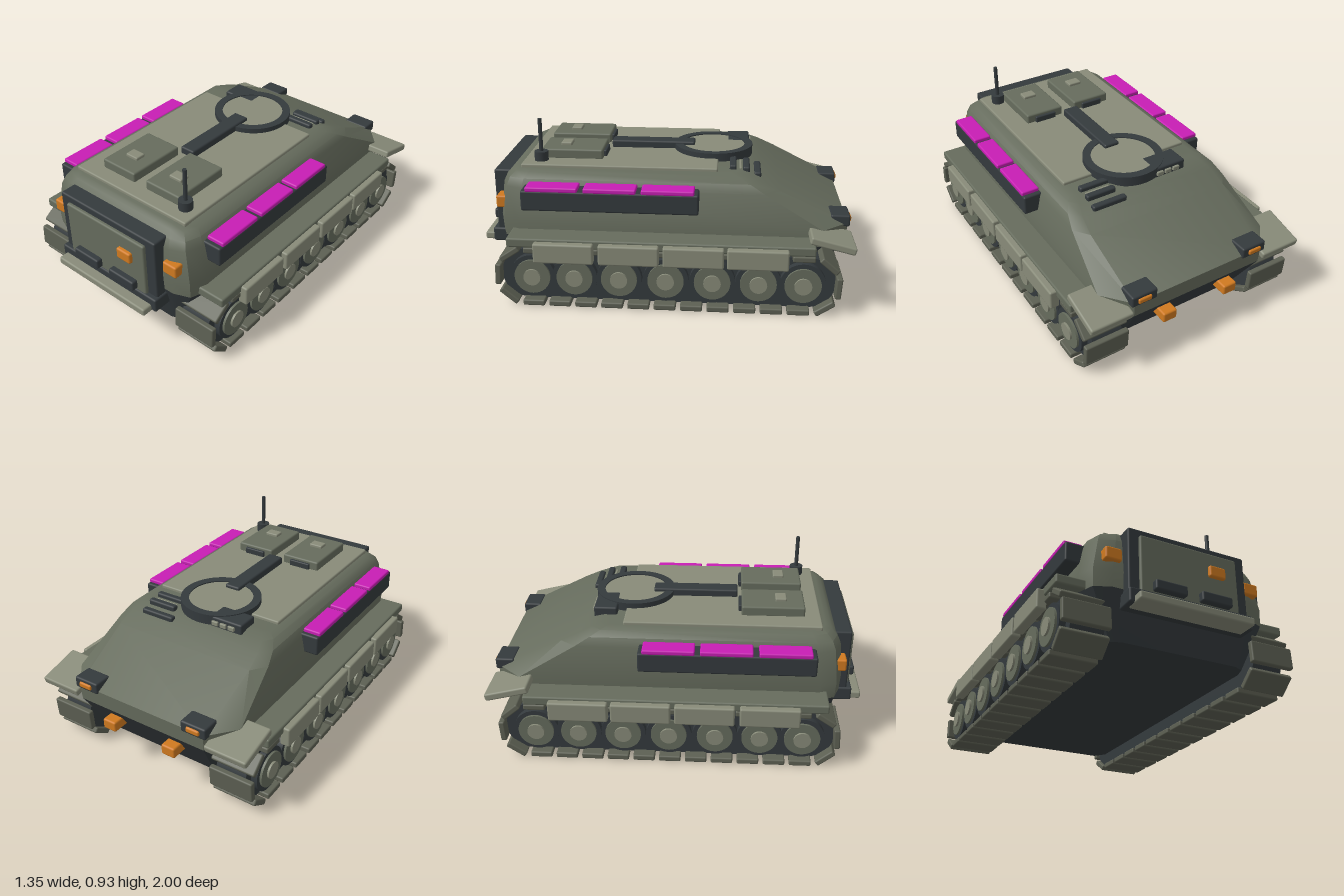
import * as THREE from 'three';
import { toCreasedNormals } from 'three/addons/utils/BufferGeometryUtils.js';
import { RoundedBoxGeometry } from 'three/addons/geometries/RoundedBoxGeometry.js';

const paint = (name, color) => {
  const m = new THREE.MeshStandardMaterial({ color });
  m.name = name;
  return m;
};

export function createModel() {
  const green = paint('hull green', 0x666c5d);
  const light = paint('light olive grey', 0x888b79);
  const dark = paint('dark slate', 0x343a3d);
  const tread = paint('track grey', 0x5d6053);
  const magenta = paint('magenta', 0xc81eb4);
  const orange = paint('orange', 0xd07a20);

  const model = new THREE.Group();
  model.name = 'armouredCarrier';

  const add = (name, geometry, material, x = 0, y = 0, z = 0, parent = model) => {
    const mesh = new THREE.Mesh(geometry, material);
    mesh.name = name;
    mesh.position.set(x, y, z);
    parent.add(mesh);
    return mesh;
  };
  // Box with softened edges, given by its limits
  const box = (name, mat, x0, x1, y0, y1, z0, z1, parent = model) => {
    const w = x1 - x0, h = y1 - y0, d = z1 - z0;
    const r = Math.min(0.01, Math.min(w, h, d) * 0.3);
    return add(name, new RoundedBoxGeometry(w, h, d, 2, r), mat, (x0 + x1) / 2, (y0 + y1) / 2, (z0 + z1) / 2, parent);
  };
  // Upright cylinder standing on y0
  const post = (name, mat, r, x, y0, y1, z, sides = 40) =>
    add(name, new THREE.CylinderGeometry(r, r, y1 - y0, sides), mat, x, (y0 + y1) / 2, z);

  // Hull: horizontal rings [y, half width, front z, back z, front corner x, z, back corner x, z]
  const hull = (name, mat, levels) => {
    const rings = levels.map(([y, w, f, b, fx, fz, bx, bz]) => {
      const half = [[w - bx, b], [w, b + bz], [w, f - fz], [w - fx * 0.28, f - fz * 0.28], [w - fx, f]];
      const other = half.map(([x, z]) => [-x, z]).reverse();
      return [...half, ...other].map(([x, z]) => [x, y, z]);
    });
    const pos = [];
    const tri = (...p) => p.forEach((v) => pos.push(...v));
    const n = rings[0].length;
    for (let k = 0; k < rings.length - 1; k++) {
      for (let i = 0; i < n; i++) {
        const j = (i + 1) % n, a = rings[k], b = rings[k + 1];
        tri(a[i], b[i], b[j]);
        tri(a[i], b[j], a[j]);
      }
    }
    const bottom = rings[0], top = rings[rings.length - 1];
    for (let i = 1; i < n - 1; i++) {
      tri(bottom[0], bottom[i], bottom[i + 1]);
      tri(top[0], top[i + 1], top[i]);
    }
    const g = new THREE.BufferGeometry();
    g.setAttribute('position', new THREE.Float32BufferAttribute(pos, 3));
    add(name, toCreasedNormals(g, 0.5), mat);
  };
  hull('lowerHull', dark, [
    [0.09, 0.385, 0.81, -0.82, 0.07, 0.08, 0.05, 0.06],
    [0.335, 0.505, 0.865, -0.965, 0.12, 0.12, 0.12, 0.14],
  ]);
  hull('upperHull', green, [
    [0.335, 0.505, 0.865, -0.965, 0.12, 0.12, 0.12, 0.14],
    [0.425, 0.508, 0.87, -0.97, 0.12, 0.12, 0.12, 0.14],
    [0.60, 0.472, 0.855, -0.61, 0.11, 0.12, 0.06, 0.08],
    [0.645, 0.452, 0.835, -0.515, 0.1, 0.11, 0.05, 0.06],
    [0.673, 0.42, 0.805, -0.45, 0.09, 0.1, 0.04, 0.05],
    [0.685, 0.38, 0.775, -0.40, 0.07, 0.08, 0.03, 0.04],
  ]);

  // Roof: plate, hatches, ring, boom, antenna
  box('roofPlate', light, -0.38, 0.38, 0.675, 0.702, -0.285, 0.755);
  for (const x of [-0.155, 0.152]) {
    box('hatch', green, x - 0.113, x + 0.113, 0.695, 0.752, 0.335, 0.67);
    box('hatchHandle', light, x - 0.04, x + 0.04, 0.745, 0.768, 0.515, 0.575);
    box('hatchHinge', dark, x - 0.063, x + 0.063, 0.695, 0.735, 0.32, 0.34);
  }
  const ring = new THREE.Shape().absarc(0, 0, 0.217, 0, Math.PI * 2);
  ring.holes.push(new THREE.Path().absarc(0, 0, 0.173, 0, Math.PI * 2));
  const ringGeo = new THREE.ExtrudeGeometry(ring, { depth: 0.055, bevelEnabled: false, curveSegments: 32 });
  ringGeo.rotateX(-Math.PI / 2);
  add('turretRing', toCreasedNormals(ringGeo, 0.5), dark, -0.003, 0.675, -0.254);
  post('turretDisc', light, 0.175, -0.003, 0.675, 0.724, -0.254, 48);
  box('boom', dark, -0.047, 0.043, 0.695, 0.742, -0.15, 0.315);
  box('sightBox', dark, -0.265, -0.07, 0.655, 0.725, -0.455, -0.33);
  for (const x of [-0.205, -0.155, -0.105]) box('sightStud', light, x - 0.02, x + 0.02, 0.68, 0.705, -0.467, -0.45);
  [[-0.495, 0.135], [-0.435, 0.165], [-0.365, 0.165]].forEach(([z, x], i) => {
    const y = Math.min(0.69, 0.68 + (z + 0.44) * 0.47);
    box('ventSlat', dark, x, 0.335, y - 0.03, y + 0.018, z - 0.018, z + 0.018);
    if (i < 2) box('ventGap', light, 0.18, 0.32, y - 0.03, y + 0.008, z + 0.024, z + 0.036);
  });
  post('antennaBase', dark, 0.037, 0.3, 0.69, 0.752, 0.66, 24);
  post('antennaRod', dark, 0.011, 0.3, 0.74, 0.93, 0.66, 12);

  // Door face, bumper and step
  box('doorFrame', dark, -0.33, 0.33, 0.28, 0.65, 0.80, 0.918);
  box('door', green, -0.275, 0.27, 0.30, 0.612, 0.88, 0.936);
  box('bumper', dark, -0.34, 0.34, 0.235, 0.312, 0.80, 0.945);
  box('step', light, -0.315, 0.31, 0.23, 0.272, 0.88, 1.0);
  for (const x of [-0.127, 0.126]) box('doorFoot', dark, x - 0.086, x + 0.086, 0.318, 0.372, 0.91, 0.97);
  box('doorLamp', orange, 0.1, 0.192, 0.473, 0.535, 0.92, 0.957);

  // Capsule outline of the track in the z-y plane
  const zf = 0.695, zb = -0.765, cy = 0.165, R = 0.15;
  const bandShape = new THREE.Shape();
  bandShape.absarc(zf, cy, 0.14, -Math.PI / 2, Math.PI / 2);
  bandShape.absarc(zb, cy, 0.14, Math.PI / 2, Math.PI * 1.5);
  const bandGeo = new THREE.ExtrudeGeometry(bandShape, { depth: 0.17, bevelEnabled: false, curveSegments: 16 });
  bandGeo.rotateY(-Math.PI / 2).translate(0.085, 0, 0);
  const band = toCreasedNormals(bandGeo, 0.5);
  const linkGeo = new RoundedBoxGeometry(0.247, 0.032, 0.115, 2, 0.008);
  const run = zf - zb, arc = Math.PI * R, total = 2 * (run + arc), count = 28;
  const onTrack = (s) => {
    if (s < run) return [zb + s, cy - R, 0];
    s -= run;
    if (s < arc) return [zf + R * Math.sin(s / R), cy - R * Math.cos(s / R), s / R];
    s -= arc;
    if (s < run) return [zf - s, cy + R, Math.PI];
    s -= run;
    return [zb - R * Math.sin(s / R), cy + R * Math.cos(s / R), Math.PI + s / R];
  };
  const disc = (r, w) => new THREE.CylinderGeometry(r, r, w, 32).rotateZ(Math.PI / 2);
  const tire = disc(0.118, 0.06), plate = disc(0.094, 0.06), hub = disc(0.045, 0.06);

  for (const s of [-1, 1]) {
    const side = new THREE.Group();
    side.name = s > 0 ? 'leftSide' : 'rightSide';
    model.add(side);
    // Box between an inner and an outer distance from the centre line
    const sideBox = (name, mat, a, b, ...rest) =>
      box(name, mat, Math.min(s * a, s * b), Math.max(s * a, s * b), ...rest, side);

    // Track and road wheels
    add('trackBand', band, dark, s * 0.495, 0, 0, side);
    for (let i = 0; i < count; i++) {
      const [z, y, angle] = onTrack(((i + 0.35) / count) * total);
      add('trackLink', linkGeo, tread, s * 0.51, y + 0.001, z, side).rotation.x = -angle;
    }
    for (const z of [0.665, 0.443, 0.21, -0.032, -0.272, -0.508, -0.735]) {
      add('tire', tire, dark, s * 0.583, cy, z, side);
      add('wheelPlate', plate, green, s * 0.595, cy, z, side);
      add('wheelHub', hub, light, s * 0.606, cy, z, side);
    }

    // Fender, end flap and skirts
    sideBox('fender', green, 0.43, 0.638, 0.335, 0.385, -0.79, 0.79);
    sideBox('endFlap', light, 0.4, 0.637, 0.375, 0.415, -0.99, -0.755).rotation.x = -0.24;
    for (const z of [-0.5, -0.175, 0.155, 0.49]) sideBox('skirt', light, 0.62, 0.673, 0.265, 0.372, z - 0.155, z + 0.155);

    // Side stowage with coloured panels
    sideBox('sideStowage', dark, 0.43, 0.565, 0.51, 0.618, -0.195, 0.72);
    for (const z of [-0.037, 0.26, 0.56]) sideBox('stowagePanel', magenta, 0.465, 0.565, 0.612, 0.638, z - 0.135, z + 0.135);

    // Lamps at both ends
    sideBox('cornerLamp', orange, 0.345, 0.432, 0.47, 0.537, 0.78, 0.888);
    sideBox('lampHousing', dark, 0.262, 0.408, 0.41, 0.472, -0.98, -0.878);
    sideBox('lamp', orange, 0.298, 0.375, 0.425, 0.455, -0.99, -0.96);
    sideBox('noseLamp', orange, 0.147, 0.228, 0.23, 0.288, -0.995, -0.90);
  }
  return model;
}
